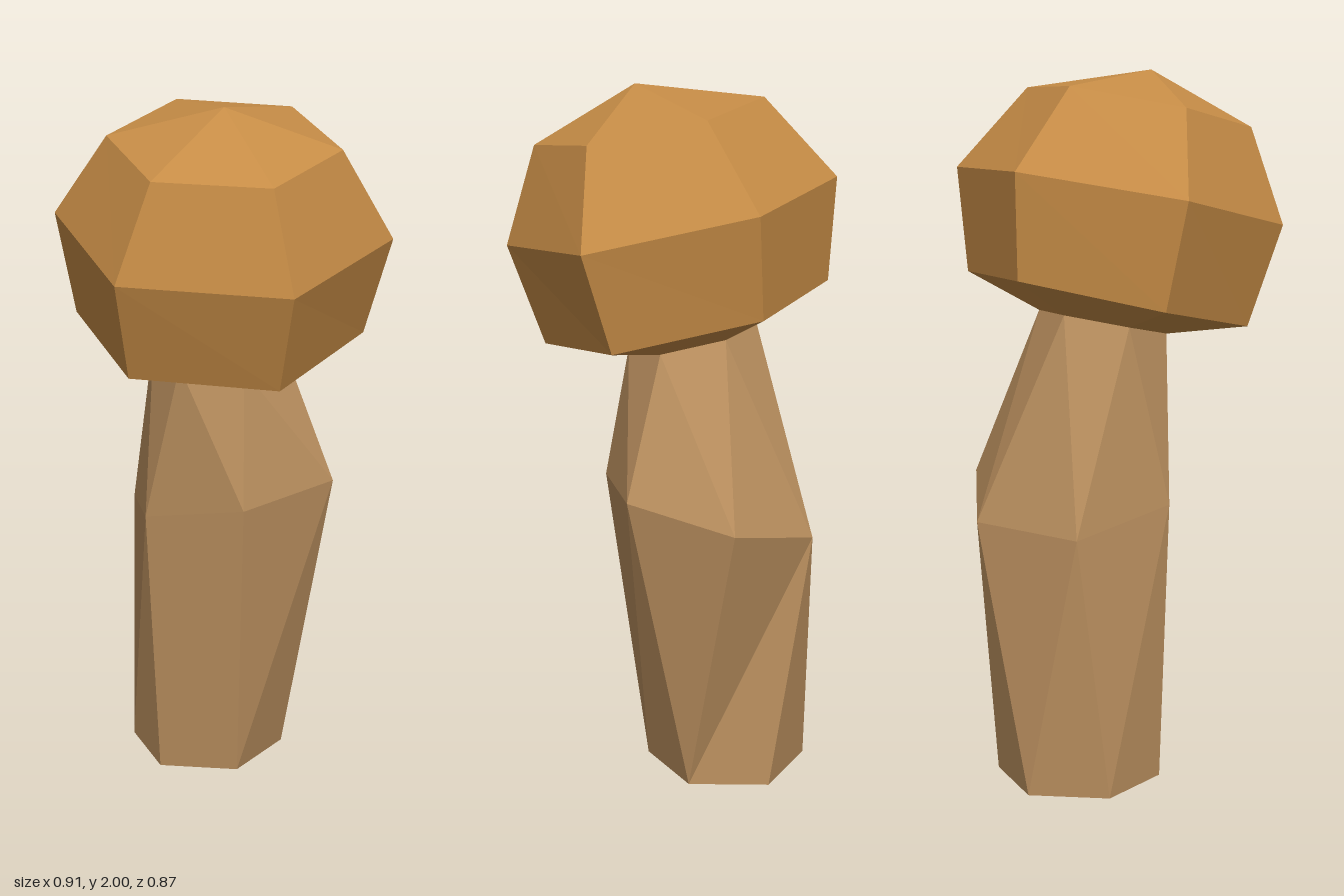
import * as THREE from 'three';

// Cross-sections, six corners each, running front -> +x -> back -> -x
const ring = (...p) => p.map(c => new THREE.Vector3(...c));

const foot = ring([0.035, 0, 0.06], [0.195, 0, -0.11], [0.135, 0, -0.335],
  [-0.095, 0, -0.385], [-0.25, 0, -0.215], [-0.19, 0, 0.005]);
const belly = ring([0.035, 0.88, 0.185], [0.315, 0.905, 0.035], [0.33, 0.845, -0.275],
  [0.075, 0.765, -0.435], [-0.23, 0.755, -0.31], [-0.225, 0.81, 0.01]);
const neck = ring([0.045, 1.27, 0.11], [0.175, 1.295, -0.02], [0.12, 1.335, -0.19],
  [-0.06, 1.345, -0.23], [-0.185, 1.315, -0.1], [-0.13, 1.275, 0.07]);
const rim = ring([0.11, 1.28, 0.335], [0.39, 1.35, 0.05], [0.27, 1.44, -0.33],
  [-0.12, 1.46, -0.42], [-0.4, 1.385, -0.14], [-0.285, 1.3, 0.235]);
const brow = ring([0.13, 1.56, 0.435], [0.455, 1.63, 0.11], [0.32, 1.73, -0.33],
  [-0.135, 1.75, -0.435], [-0.455, 1.68, -0.11], [-0.325, 1.58, 0.325]);
const crown = ring([0.085, 1.835, 0.365], [0.305, 1.885, 0.14], [0.215, 1.95, -0.16],
  [-0.1, 1.965, -0.235], [-0.315, 1.91, -0.01], [-0.225, 1.845, 0.29]);

// Facets between two rings; each step advances the lower (L) or upper (U) corner
function band(lower, upper, steps = 'LULULULULULU') {
  const tris = [];
  let l = 0, u = 0;
  for (const s of steps) {
    if (s === 'L') tris.push(lower[l % 6], lower[(l + 1) % 6], upper[u % 6]), l++;
    else tris.push(lower[l % 6], upper[(u + 1) % 6], upper[u % 6]), u++;
  }
  return tris;
}

// Fan from a ring to a tip; down = true closes the underside
function fan(r, tip, down = false) {
  return r.flatMap((p, i) => {
    const q = r[(i + 1) % r.length];
    return down ? [q, p, tip] : [p, q, tip];
  });
}

function facetedMesh(name, points, material) {
  const geometry = new THREE.BufferGeometry().setFromPoints(points);
  geometry.computeVertexNormals();
  const mesh = new THREE.Mesh(geometry, material);
  mesh.name = name;
  return mesh;
}

export function createModel() {
  const capBrown = new THREE.MeshStandardMaterial({ color: 0xc68c46, flatShading: true });
  capBrown.name = 'cap brown';
  const stemTan = new THREE.MeshStandardMaterial({ color: 0xbb905f, flatShading: true });
  stemTan.name = 'stem tan';

  const group = new THREE.Group();
  group.name = 'mushroom';

  // Bulging, leaning stem
  group.add(facetedMesh('stem', [
    ...fan(foot, new THREE.Vector3(-0.03, 0, -0.165), true),
    ...band(foot, belly, 'ULUULLULULUL'),
    ...band(belly, neck),
  ], stemTan));

  // Tilted cap: underside, side wall, shoulder, top
  group.add(facetedMesh('cap', [
    ...band(neck, rim),
    ...band(rim, brow),
    ...band(brow, crown),
    ...fan(crown, new THREE.Vector3(-0.01, 2, 0.105)),
  ], capBrown));

  return group;
}
